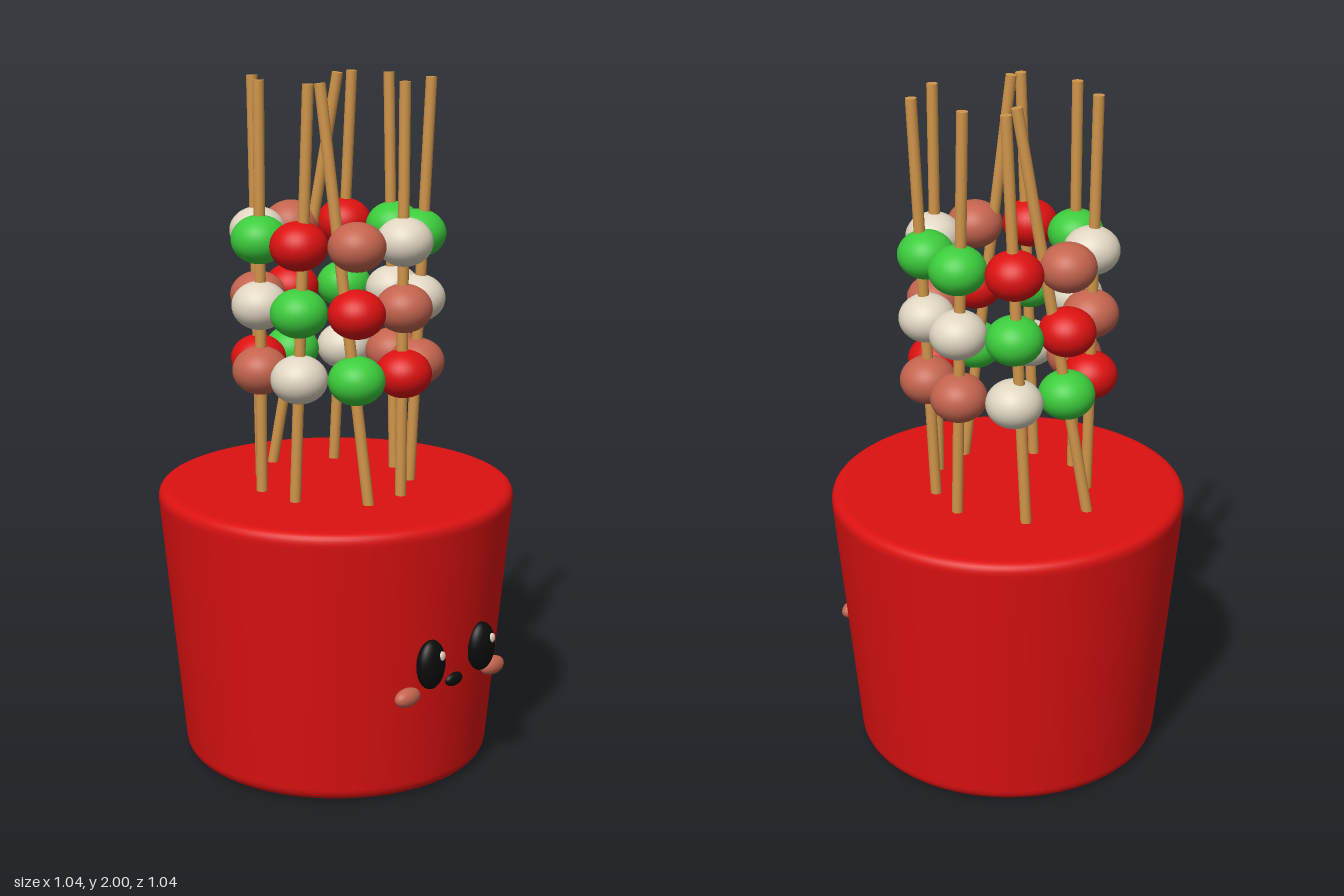
import * as THREE from 'three';

const mat = (name, color) => {
  const m = new THREE.MeshStandardMaterial({ color });
  m.name = name;
  return m;
};

export function createModel() {
  const red = mat('red', 0xdd1111);
  const green = mat('green', 0x3ccc3c);
  const clay = mat('clay', 0xc4644e);
  const cream = mat('cream', 0xe0d6c2);
  const wood = mat('wood', 0xd0954a);
  const black = mat('black', 0x0b0b0b);

  const model = new THREE.Group();
  model.name = 'skewerCup';
  const add = (parent, name, geometry, material) => {
    const mesh = new THREE.Mesh(geometry, material);
    mesh.name = name;
    parent.add(mesh);
    return mesh;
  };

  // Solid tapered cup with rounded rims
  const profile = new THREE.Path();
  profile.moveTo(0, 0.005);
  profile.lineTo(0.4, 0.005);
  profile.quadraticCurveTo(0.445, 0.005, 0.45, 0.045);
  profile.lineTo(0.519, 0.785);
  profile.quadraticCurveTo(0.523, 0.823, 0.485, 0.823);
  profile.lineTo(0, 0.823);
  add(model, 'cup', new THREE.LatheGeometry(profile.getPoints(8), 96), red);

  // Leaning sticks: [x, z] at the cup top and [x, z] at y = 2
  const sticks = [
    [0.235, 0.01, 0.227, -0.015],
    [0.01, -0.29, 0.113, -0.11],
    [0.175, -0.19, 0.19, -0.13],
    [-0.115, -0.2, -0.125, -0.213],
    [-0.22, -0.08, -0.22, -0.08],
    [-0.225, 0.065, -0.207, 0.105],
    [-0.097, 0.235, -0.168, 0.11],
    [0.035, 0.23, 0.04, 0.23],
    [0.17, 0.135, 0.198, 0.18],
  ];
  const up = new THREE.Vector3(0, 1, 0);
  sticks.forEach(([x0, z0, x1, z1], i) => {
    const a = new THREE.Vector3(x0, 0.8, z0);
    const b = new THREE.Vector3(x1, 1.998, z1);
    const dir = b.clone().sub(a);
    const stick = add(model, `stick${i + 1}`, new THREE.CylinderGeometry(0.016, 0.016, dir.length(), 16), wood);
    stick.position.copy(a).lerp(b, 0.5);
    stick.quaternion.setFromUnitVectors(up, dir.normalize());
  });

  // Three rings of nine flattened balls, colours shifting by one per ring
  const colours = [green, red, clay, cream];
  const ball = new THREE.SphereGeometry(1, 32, 24);
  const blob = (parent, name, material, position, scale) => {
    const mesh = add(parent, name, ball, material);
    mesh.position.set(...position);
    mesh.scale.set(...scale);
    return mesh;
  };
  [1.18, 1.368, 1.556].forEach((y, row) => {
    const ring = new THREE.Group();
    ring.name = `ballRing${row + 1}`;
    model.add(ring);
    for (let j = 0; j < 9; j++) {
      const t = (j / 9) * Math.PI * 2;
      blob(ring, `ball${j + 1}`, colours[(j + 2 + row) % 4],
        [0.235 * Math.cos(t), y, -0.235 * Math.sin(t)], [0.081, 0.069, 0.081]);
    }
  });

  // Face on the front of the cup
  const face = new THREE.Group();
  face.name = 'face';
  model.add(face);
  for (const [side, s] of [['left', 1], ['right', -1]]) {
    blob(face, `${side}Eye`, black, [s * 0.104, 0.414, 0.487], [0.049, 0.072, 0.032]);
    blob(face, `${side}EyeGlint`, cream, [s * 0.104 + 0.017, 0.44, 0.512], [0.013, 0.015, 0.008]);
    blob(face, `${side}Cheek`, clay, [s * 0.176, 0.33, 0.467], [0.045, 0.027, 0.025]);
  }
  blob(face, 'mouth', black, [0, 0.34, 0.478], [0.033, 0.02, 0.016]);

  return model;
}
